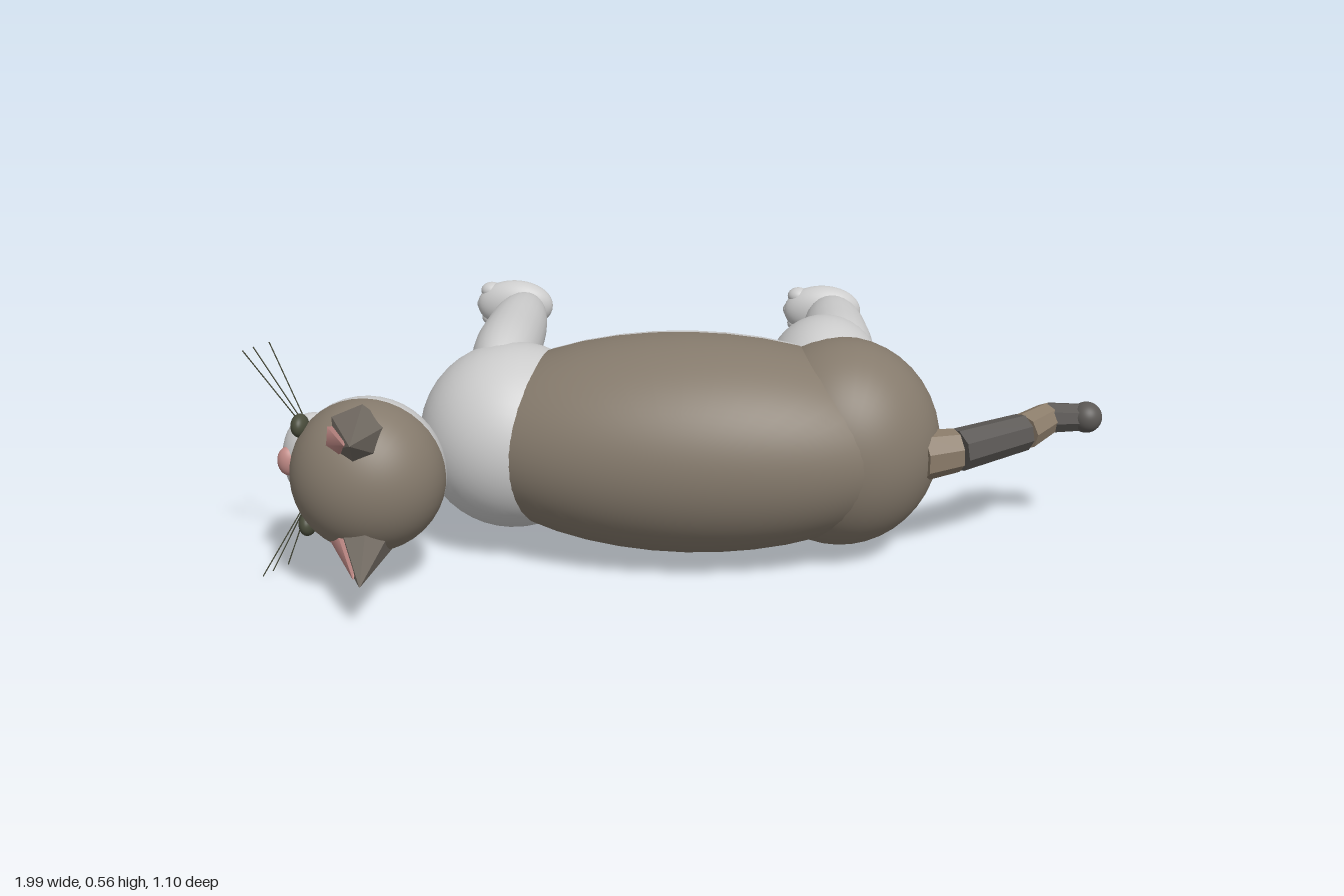
import * as THREE from 'three';

const mat = (color, extra = {}) => new THREE.MeshStandardMaterial({ color, ...extra });
const white = mat(0xcccccc), fur = mat(0x857a6c), pink = mat(0xc08a86), eyeMat = mat(0x4a4d3c);
const tailDark = mat(0x5b5855, { flatShading: true }), tailLight = mat(0x8c7d6b, { flatShading: true });
const earMat = mat(0x716a62, { flatShading: true });
const MID = 0.28; // the body's plane of symmetry is y = MID
const V = (x, y, z) => new THREE.Vector3(x, y, z);

export function createModel() {
  const cat = new THREE.Group();
  cat.name = 'cat';

  const add = (name, geo, material, parent = cat) => {
    const m = new THREE.Mesh(geo, material);
    m.name = name;
    parent.add(m);
    return m;
  };

  // Ellipsoid with its poles along z
  const blob = (name, c, r, material, parent, from = 0, to = Math.PI) => {
    const g = new THREE.SphereGeometry(1, 40, 28, 0, Math.PI * 2, from, to - from);
    g.rotateX(Math.PI / 2);
    const m = add(name, g, material, parent);
    m.scale.set(...r);
    m.position.set(...c);
    return m;
  };

  // Ellipsoid with a dark back (z above split) and a pale belly
  const coat = (name, c, r, split) => {
    const t = Math.acos((split - c[2]) / r[2]);
    blob(name + 'Back', c, r, fur, cat, 0, t);
    blob(name + 'Belly', c, r, white, cat, t, Math.PI);
  };

  // Shape turned along +y, then aimed from a to b
  const aim = (mesh, a, b) => {
    mesh.position.copy(a).lerp(b, 0.5);
    mesh.quaternion.setFromUnitVectors(V(0, 1, 0), b.clone().sub(a).normalize());
    return mesh;
  };
  const rod = (name, a, b, r0, r1, sides, material, parent = cat) =>
    aim(add(name, new THREE.CylinderGeometry(r1, r0, a.distanceTo(b), sides), material, parent), a, b);

  // Rounded, tapering limb
  const limb = (name, a, b, r0, r1, parent) => {
    const len = a.distanceTo(b), pts = [];
    for (let i = 0; i <= 20; i++) {
      const t = i / 20;
      const cap = Math.pow(Math.max(0, 1 - Math.pow(Math.abs(2 * t - 1), 3)), 0.5);
      pts.push(new THREE.Vector2((r0 + (r1 - r0) * t) * cap, (t - 0.5) * len));
    }
    return aim(add(name, new THREE.LatheGeometry(pts, 24), white, parent), a, b);
  };

  // Body
  blob('chest', [-0.425, MID, 0.005], [0.225, 0.225, 0.225], white);
  coat('trunk', [0, MID, 0.025], [0.57, 0.262, 0.287], -0.02);
  coat('hip', [0.36, MID, 0], [0.238, 0.252, 0.228], -0.06);

  // Head, muzzle and nose
  coat('head', [-0.71, MID + 0.003, 0.3], [0.177, 0.18, 0.163], 0.295);
  blob('muzzle', [-0.86, MID, 0.195], [0.077, 0.11, 0.064], white);
  blob('nose', [-0.915, MID + 0.003, 0.23], [0.026, 0.035, 0.022], pink);

  for (const s of [1, -1]) {
    const side = new THREE.Group();
    side.name = s > 0 ? 'upperSide' : 'lowerSide';
    cat.add(side);
    const y = d => MID + s * d;

    blob('eye', [-0.857, y(0.12), 0.31], [0.02, 0.027, 0.03], eyeMat, side);

    // Ears with pink fronts
    rod('ear', V(-0.71, y(0.117), 0.365), V(-0.68, y(0.163), 0.55), 0.073, 0.001, 6, earMat, side);
    rod('innerEar', V(-0.745, y(0.115), 0.38), V(-0.7, y(0.156), 0.525), 0.042, 0.001, 6, pink, side);

    // Whiskers
    [[-0.99, 0.26], [-0.975, 0.23], [-0.95, 0.19]].forEach(([x, z], i) =>
      rod('whisker', V(-0.87, y(0.08), 0.215 + 0.01 * (1 - i)), V(x, y(0.278), z), 0.0015, 0.0015, 5, eyeMat, side));

    // Legs
    limb('frontLeg', V(-0.455, y(0.165), 0.05), V(-0.465, y(0.18), -0.52), 0.09, 0.066, side);
    blob('haunch', [0.32, y(0.125), -0.12], [0.14, 0.145, 0.185], white, side);
    limb('hindLeg', V(0.36, y(0.165), -0.04), V(0.335, y(0.18), -0.52), 0.1, 0.068, side);

    // Paws with three toes
    for (const x of [-0.498, 0.315]) {
      blob('paw', [x, y(0.18), -0.502], [0.1, 0.066, 0.046], white, side);
      for (const k of [-1, 0, 1])
        blob('toe', [x - 0.075 + 0.012 * Math.abs(k), y(0.18 + 0.037 * k), -0.508], [0.028, 0.022, 0.026], white, side);
    }
  }

  // Banded tail
  const path = [V(0.55, 0.275, 0.075), V(0.635, 0.28, 0.045), V(0.8, 0.29, -0.065), V(0.87, 0.3, -0.145), V(0.96, 0.308, -0.132)];
  const radii = [0.06, 0.052, 0.046, 0.039, 0.034];
  for (let i = 0; i < 4; i++)
    rod('tailBand' + (i + 1), path[i], path[i + 1], radii[i], radii[i + 1], 8, i % 2 ? tailDark : tailLight);
  blob('tailTip', path[4].toArray(), [0.038, 0.038, 0.038], mat(0x5b5855));

  return cat;
}
